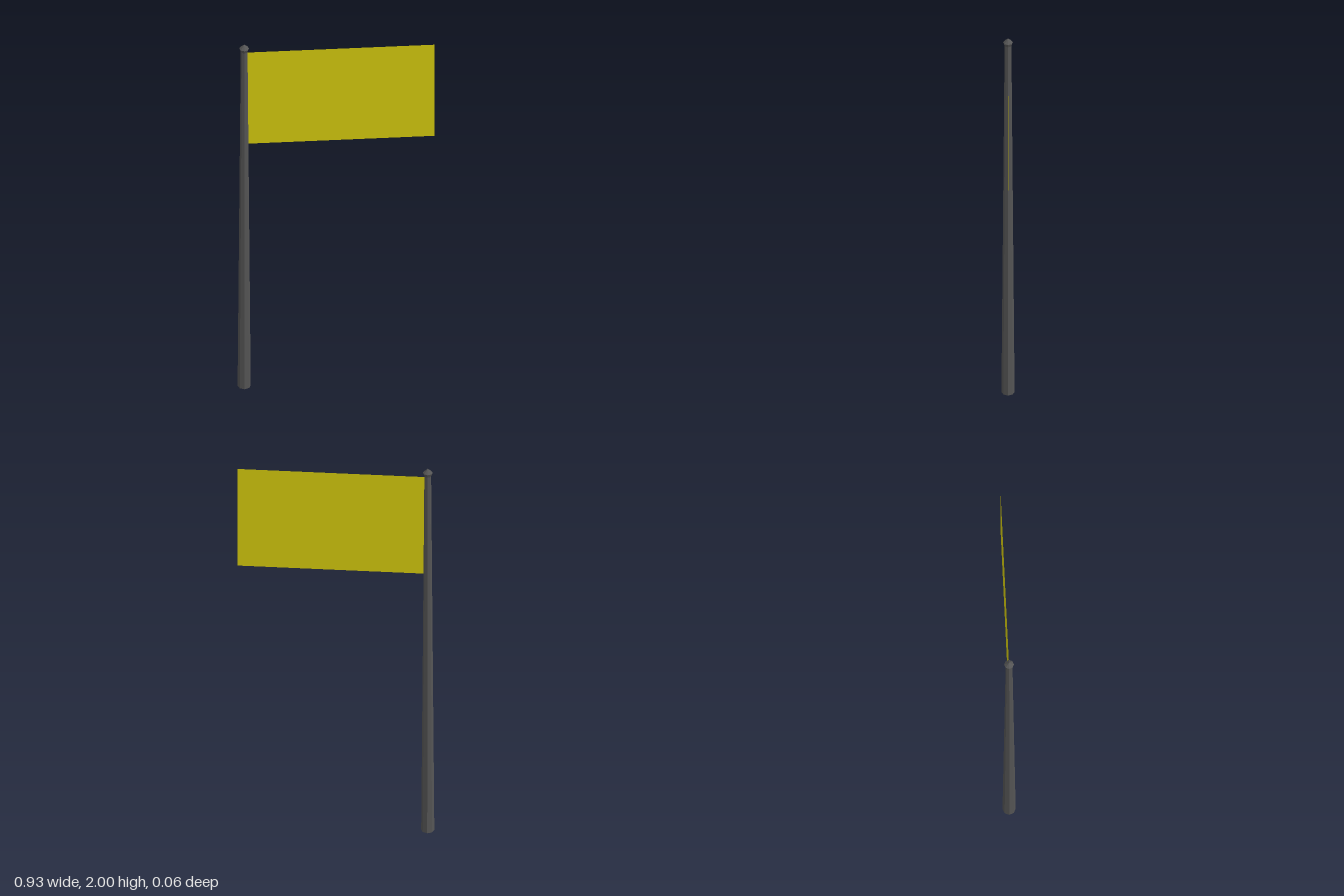
import * as THREE from 'three';

export function createModel() {
  const group = new THREE.Group();
  const metal = new THREE.MeshStandardMaterial({ name: 'dark grey metal', color: 0x555555, flatShading: true });
  const cloth = new THREE.MeshStandardMaterial({ name: 'yellow cloth', color: 0xd4ca0e, side: THREE.DoubleSide });

  const poleX = -0.432, flagRight = 0.463, flagBottom = 1.418, flagTop = 1.953;

  // Tapered eight-sided pole with a pointed cap, as one closed profile
  const profile = [
    [0, 0], [0.031, 0], [0.016, 1.96], [0.023, 1.978], [0, 2],
  ].map(([r, y]) => new THREE.Vector2(r, y));
  const pole = new THREE.Mesh(new THREE.LatheGeometry(profile, 8), metal);
  pole.name = 'pole';
  pole.position.x = poleX;
  group.add(pole);

  // Flat flag, its inner edge buried in the pole
  const width = flagRight - poleX;
  const flag = new THREE.Mesh(new THREE.PlaneGeometry(width, flagTop - flagBottom), cloth);
  flag.name = 'flag';
  flag.position.set(poleX + width / 2, (flagBottom + flagTop) / 2, 0);
  group.add(flag);

  return group;
}
